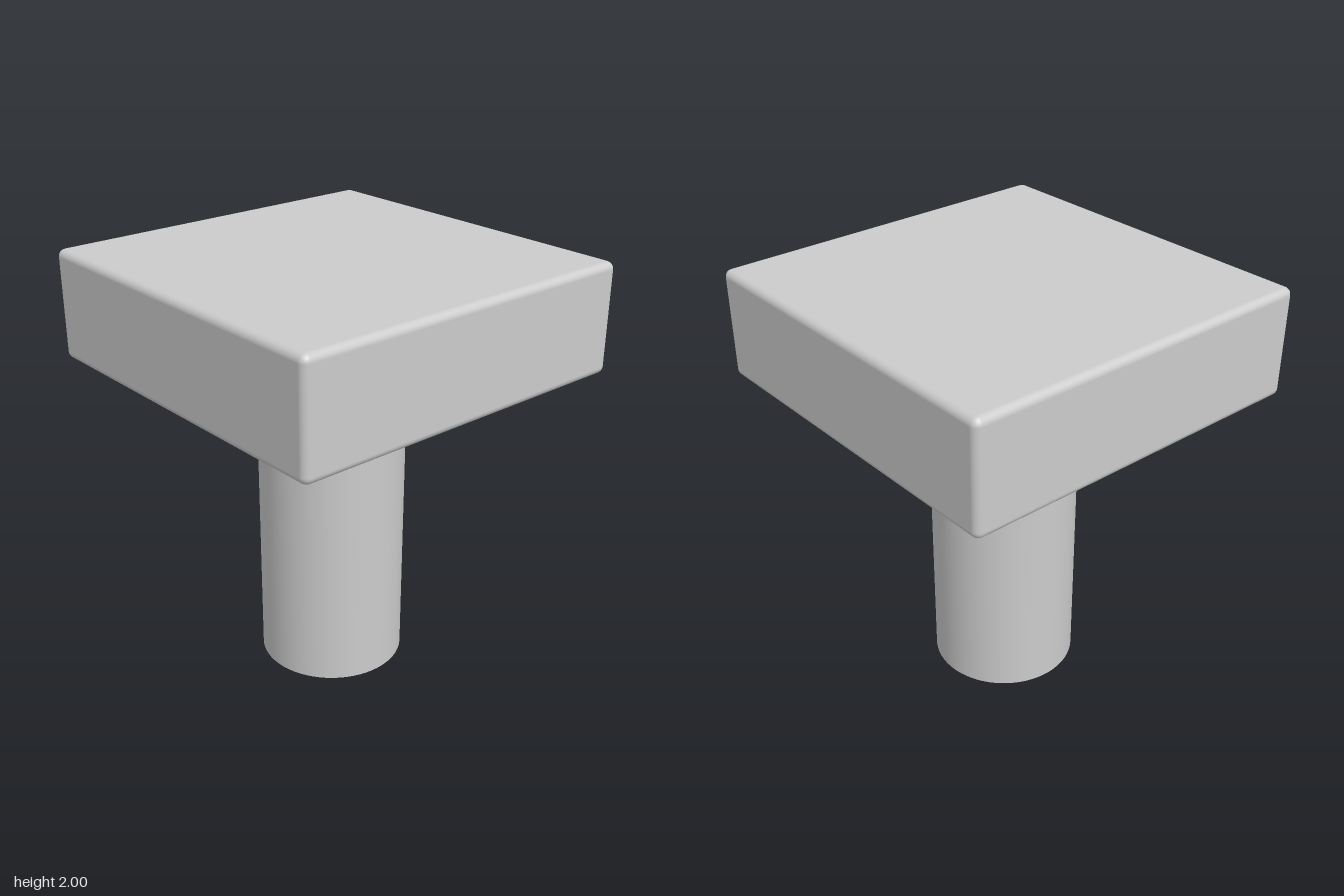
import * as THREE from 'three';
import { RoundedBoxGeometry } from 'three/addons/geometries/RoundedBoxGeometry.js';

const SLAB_WIDTH = 1.735;
const SLAB_BOTTOM = 1.485;
const TOP = 2;
const POST_RADIUS = 0.345;

export function createModel() {
  const group = new THREE.Group();
  group.name = 'pedestal';
  const material = new THREE.MeshStandardMaterial({ color: 0xcccccc });

  // Square slab with softly rounded edges
  const slabHeight = TOP - SLAB_BOTTOM;
  const slab = new THREE.Mesh(
    new RoundedBoxGeometry(SLAB_WIDTH, slabHeight, SLAB_WIDTH, 3, 0.035),
    material
  );
  slab.name = 'slab';
  slab.position.y = SLAB_BOTTOM + slabHeight / 2;
  group.add(slab);

  // Round post, set slightly into the slab
  const postHeight = SLAB_BOTTOM + 0.02;
  const post = new THREE.Mesh(
    new THREE.CylinderGeometry(POST_RADIUS, POST_RADIUS, postHeight, 64),
    material
  );
  post.name = 'post';
  post.position.y = postHeight / 2;
  group.add(post);

  return group;
}
